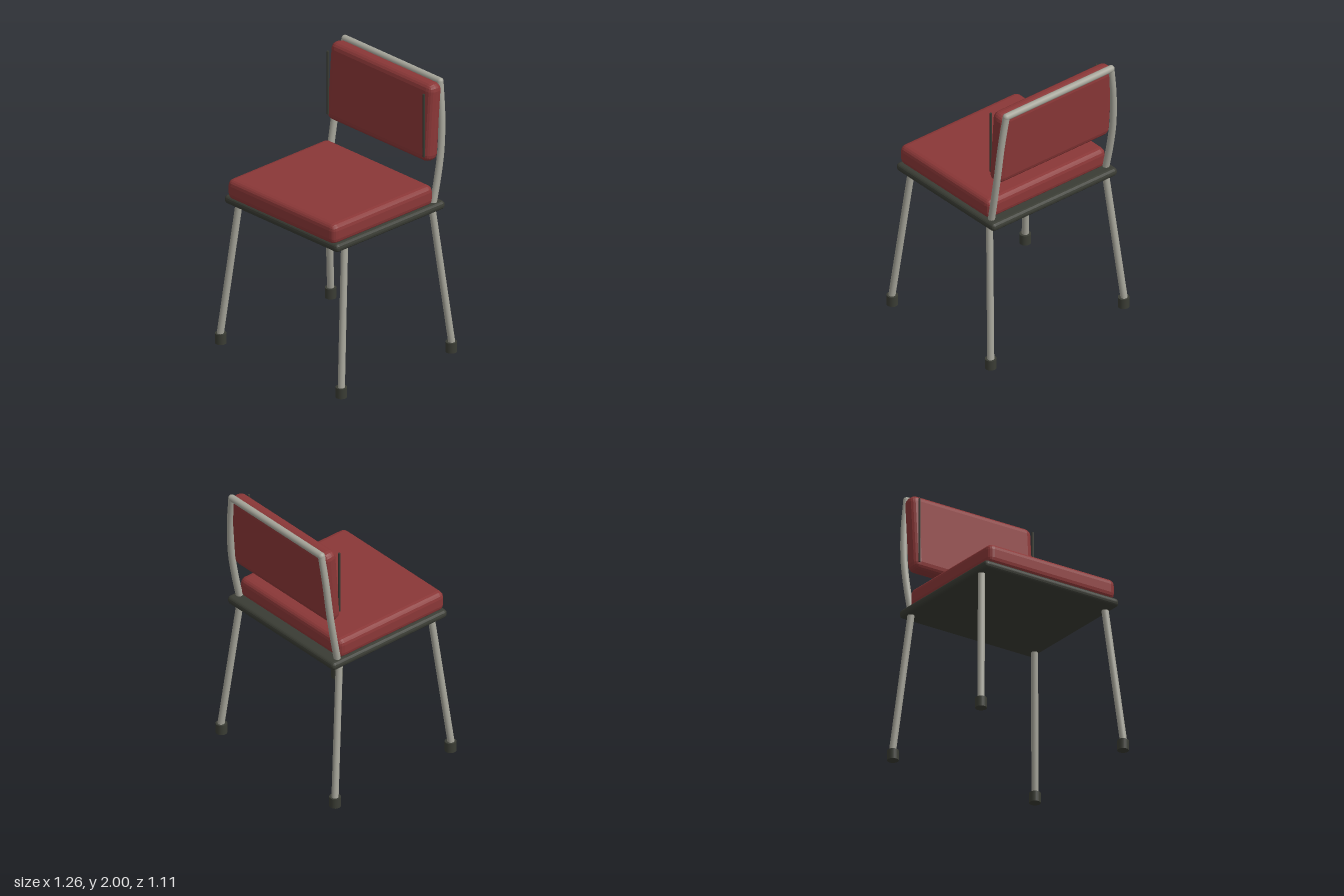
import * as THREE from 'three';
import { RoundedBoxGeometry } from 'three/addons/geometries/RoundedBoxGeometry.js';

export function createModel() {
  const group = new THREE.Group();
  const mat = (name, color) => {
    const m = new THREE.MeshStandardMaterial({ color });
    m.name = name;
    return m;
  };
  const red = mat('red upholstery', 0x8a3737);
  const metal = mat('grey metal', 0xa6a59a);
  const dark = mat('dark rubber', 0x3a3c34);

  const add = (name, geometry, material, x = 0, y = 0, z = 0) => {
    const mesh = new THREE.Mesh(geometry, material);
    mesh.name = name;
    mesh.position.set(x, y, z);
    group.add(mesh);
    return mesh;
  };
  // Bevelled box with faceted edges
  const bevelBox = (w, h, d, r) => {
    const g = new RoundedBoxGeometry(w, h, d, 2, r);
    g.computeVertexNormals();
    return g;
  };
  // Straight rod between two points
  const rod = (name, a, b, r, material) => {
    const dir = b.clone().sub(a);
    const mesh = add(name, new THREE.CylinderGeometry(r, r, dir.length(), 16), material);
    mesh.position.copy(a).add(b).multiplyScalar(0.5);
    mesh.quaternion.setFromUnitVectors(new THREE.Vector3(0, 1, 0), dir.normalize());
    return mesh;
  };
  const v = (x, y, z) => new THREE.Vector3(x, y, z);

  // Seat: dark board with a red cushion set towards the front
  add('seatBoard', bevelBox(1.11, 0.062, 1.025, 0.028), dark, 0, 1.09, 0.012);
  add('seatCushion', bevelBox(1.05, 0.15, 0.945, 0.045), red, 0, 1.178, 0.054);

  // Backrest cushion, leaning back slightly
  const back = add('backrestCushion', bevelBox(1.0, 0.57, 0.122, 0.052), red, 0, 1.695, -0.452);
  back.rotation.x = -0.075;

  for (const s of [-1, 1]) {
    // Splayed legs with rubber feet
    for (const f of [-1, 1]) {
      rod('leg', v(s * 0.51, 1.08, f * 0.41), v(s * 0.59, 0.07, f * 0.517), 0.0245, metal);
      add('foot', new THREE.CylinderGeometry(0.04, 0.04, 0.074, 20), dark, s * 0.588, 0.037, f * 0.515);
    }
    // Curved post carrying the backrest
    const path = new THREE.CatmullRomCurve3([
      v(s * 0.506, 1.1, -0.422), v(s * 0.511, 1.3, -0.462), v(s * 0.51, 1.5, -0.494),
      v(s * 0.495, 1.74, -0.515), v(s * 0.463, 1.975, -0.529),
    ]);
    add('backPost', new THREE.TubeGeometry(path, 16, 0.0245, 14), metal);
    add('postElbow', new THREE.SphereGeometry(0.025, 16, 10), metal, s * 0.463, 1.975, -0.53);
    // Thin upright trim in front of the backrest
    add('backrestTrim', new THREE.CylinderGeometry(0.008, 0.008, 0.47, 8), dark, s * 0.468, 1.695, -0.373);
  }

  // Bar joining the posts at the top
  rod('topBar', v(-0.463, 1.975, -0.53), v(0.463, 1.975, -0.53), 0.025, metal);
  return group;
}
